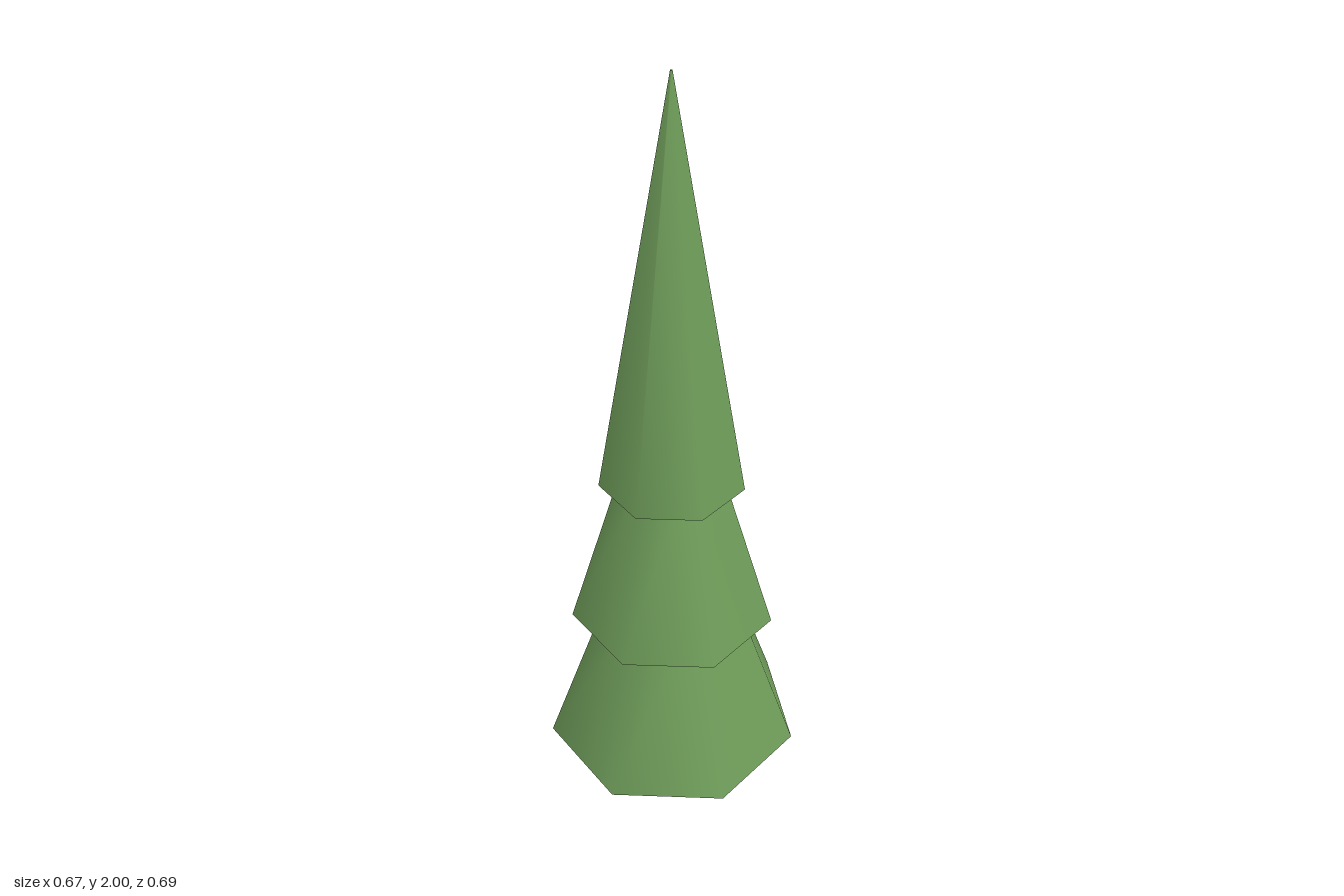
import * as THREE from 'three';

export function createModel() {
  const tree = new THREE.Group();
  tree.name = 'coniferTree';

  const foliage = new THREE.MeshStandardMaterial({ color: 0x6f9d5a, side: THREE.DoubleSide });
  foliage.name = 'foliageGreen';

  // Open seven-sided skirts; each one tucks up inside the next.
  const tiers = [
    { name: 'lowerFoliage', base: 0, top: 0.54, rBase: 0.355, rTop: 0.162 },
    { name: 'middleFoliage', base: 0.437, top: 0.975, rBase: 0.28, rTop: 0.117 },
    { name: 'upperFoliage', base: 0.875, top: 2, rBase: 0.195, rTop: 0.003 },
  ];

  for (const { name, base, top, rBase, rTop } of tiers) {
    // Start at a quarter turn so one corner points along +x.
    const skirt = new THREE.CylinderGeometry(rTop, rBase, top - base, 7, 1, true, Math.PI / 2);
    const mesh = new THREE.Mesh(skirt, foliage);
    mesh.name = name;
    mesh.position.set(-0.0175, (base + top) / 2, 0);
    tree.add(mesh);
  }

  return tree;
}
